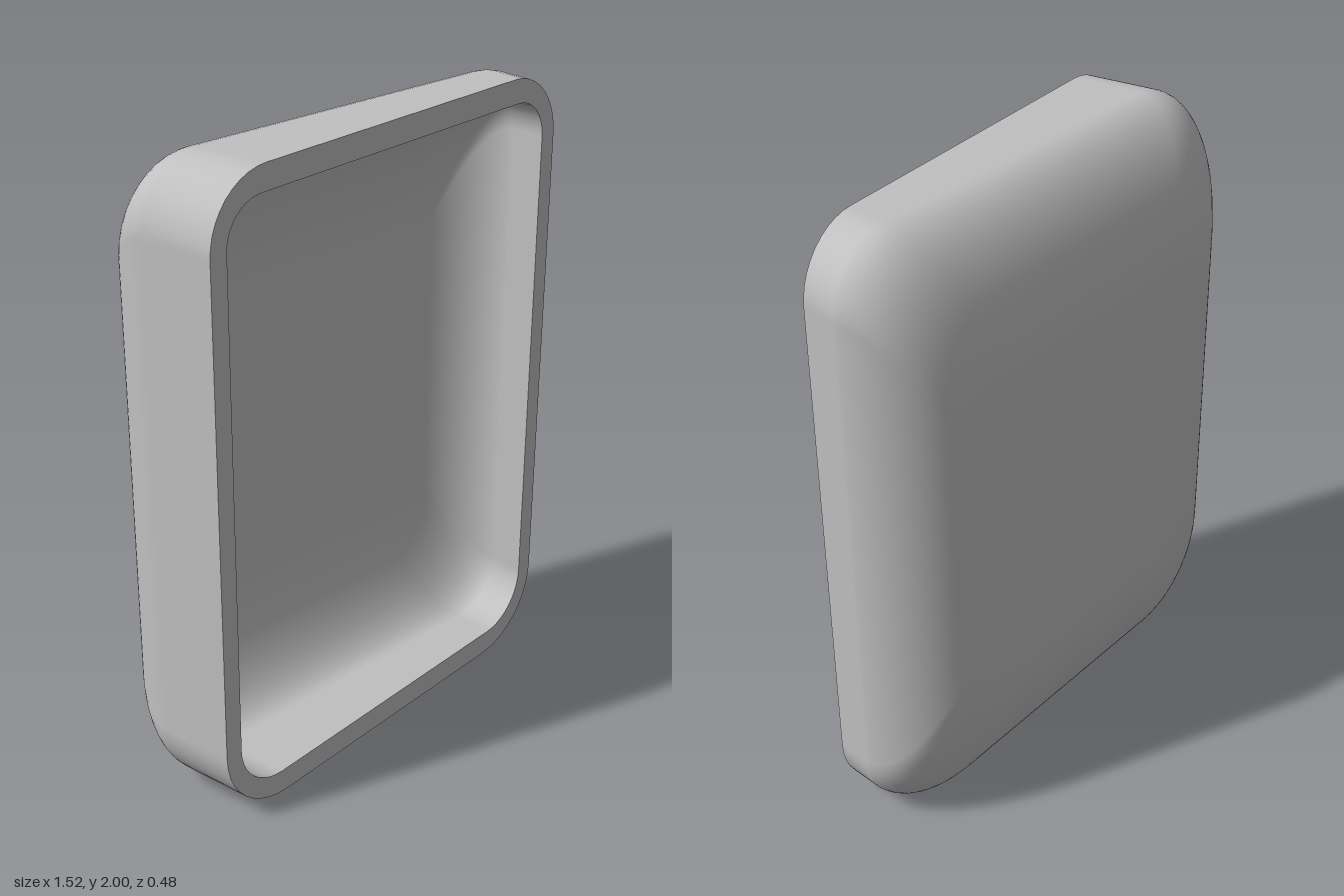
import * as THREE from 'three';

const STEPS = 20; // rings in the rounded shoulder
const SLANT = 0.085; // the back leans: deeper toward -x

// Rounded rectangle ring, counter-clockwise seen from the front; z is a function of x
function ring(hx, hy, rTop, rBottom, zAt) {
  const pts = [];
  const corners = [[1, 1, rTop], [-1, 1, rTop], [-1, -1, rBottom], [1, -1, rBottom]];
  corners.forEach(([sx, sy, r], k) => {
    for (let i = 0; i <= 10; i++) {
      const a = (k + i / 10) * Math.PI / 2;
      const x = sx * (hx - r) + r * Math.cos(a);
      const y = sy * (hy - r) + r * Math.sin(a);
      pts.push([x, 1 + y, zAt(x)]);
    }
  });
  return pts;
}

// Joins rings into a surface, optionally closed with a centre point
function skin(rings, flip, centre) {
  const n = rings[0].length, pos = rings.flat(2), index = [];
  const tri = (a, b, c) => (flip ? index.push(a, c, b) : index.push(a, b, c));
  for (let i = 0; i < rings.length - 1; i++) {
    for (let j = 0; j < n; j++) {
      const a = i * n + j, b = i * n + (j + 1) % n;
      tri(a, b, a + n);
      tri(b, b + n, a + n);
    }
  }
  if (centre) {
    const c = pos.length / 3, base = (rings.length - 1) * n;
    pos.push(...centre);
    for (let j = 0; j < n; j++) tri(base + j, base + (j + 1) % n, c);
  }
  const g = new THREE.BufferGeometry();
  g.setAttribute('position', new THREE.Float32BufferAttribute(pos, 3));
  g.setIndex(index);
  g.computeVertexNormals();
  return g;
}

// Rings of a tray wall: flared side, then an elliptical shoulder to the back
function trayRings(s) {
  const rings = [ring(s.frontX, s.hy, s.rTop, s.rBottom, () => 0.235)];
  for (let i = 0; i <= STEPS; i++) {
    const a = (i / STEPS) * Math.PI / 2;
    const inset = 1 - Math.cos(a);
    rings.push(ring(s.hx - s.insetX * inset, s.hy - s.insetY * inset, s.rTop, s.rBottom,
      (x) => 0.06 + SLANT * x - s.depth * Math.sin(a)));
  }
  return rings;
}

export function createModel() {
  const group = new THREE.Group();
  const grey = new THREE.MeshStandardMaterial({ color: 0xc0c0c0 });
  grey.name = 'grey';
  const add = (name, geometry) => {
    const mesh = new THREE.Mesh(geometry, grey);
    mesh.name = name;
    group.add(mesh);
  };

  const outer = { frontX: 0.743, hx: 0.76, hy: 1, rTop: 0.21, rBottom: 0.25, insetX: 0.26, insetY: 0.52, depth: 0.257 };
  const inner = { frontX: 0.683, hx: 0.694, hy: 0.923, rTop: 0.13, rBottom: 0.17, insetX: 0.25, insetY: 0.48, depth: 0.19 };
  const outerRings = trayRings(outer);
  const innerRings = trayRings(inner);

  // Rounded outside, hollow inside and the flat rim between them
  add('outerShell', skin(outerRings, true, [0, 1, 0.06 - outer.depth]));
  add('innerShell', skin(innerRings, false, [0, 1, 0.06 - inner.depth]));
  add('frontRim', skin([outerRings[0], innerRings[0]], false));
  return group;
}
